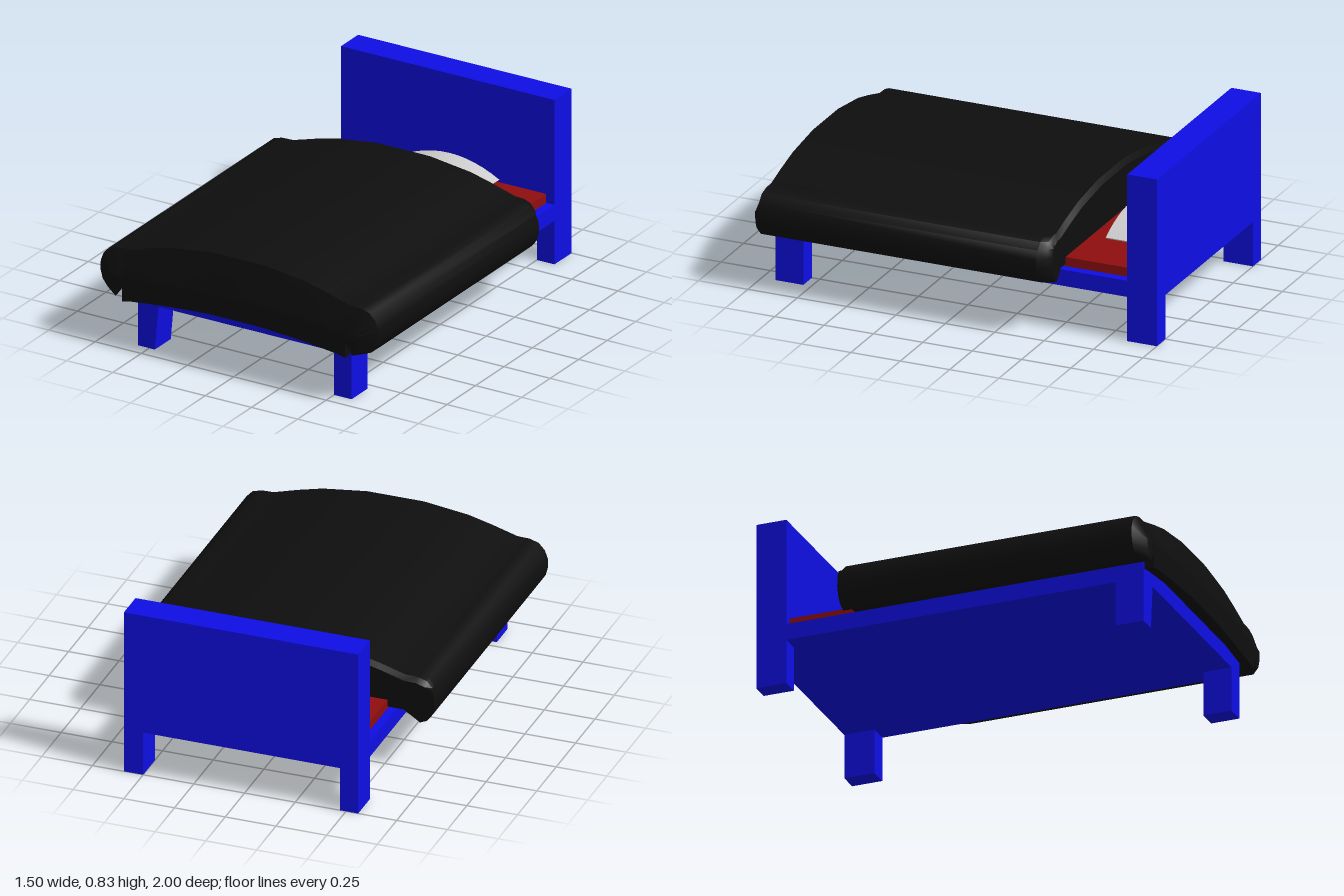
import * as THREE from 'three';
import { toCreasedNormals } from 'three/addons/utils/BufferGeometryUtils.js';

const paint = (color) => new THREE.MeshStandardMaterial({ color });

export function createModel() {
  const bed = new THREE.Group();
  bed.name = 'bed';
  const blue = paint(0x0e0ee4), red = paint(0x8e0e0e), black = paint(0x0e0e0e), grey = paint(0xcccccc);

  const add = (name, geometry, material) => {
    const mesh = new THREE.Mesh(geometry, material);
    mesh.name = name;
    bed.add(mesh);
    return mesh;
  };
  // Box given by its limits on each axis
  const box = (name, [x0, x1], [y0, y1], [z0, z1], material) => {
    const g = new THREE.BoxGeometry(x1 - x0, y1 - y0, z1 - z0);
    g.translate((x0 + x1) / 2, (y0 + y1) / 2, (z0 + z1) / 2);
    return add(name, g, material);
  };
  // Outline in x and y, extruded between two z positions
  const slab = (name, points, z0, z1, material) => {
    const shape = new THREE.Shape(points.map(([x, y]) => new THREE.Vector2(x, y)));
    const g = new THREE.ExtrudeGeometry(shape, { depth: z1 - z0, bevelEnabled: false });
    g.translate(0, 0, z0);
    return add(name, toCreasedNormals(g, 0.6), material);
  };

  // Frame: base, headboard and four legs, one of them tapered
  box('base', [-0.56, 0.595], [0.22, 0.3], [-0.86, 0.93], blue);
  box('headboard', [-0.56, 0.595], [0.22, 0.83], [-1, -0.85], blue);
  box('backLeftLeg', [0.5, 0.595], [0, 0.22], [-1, -0.85], blue);
  box('backRightLeg', [-0.56, -0.47], [0, 0.22], [-1, -0.85], blue);
  box('frontLeftLeg', [0.5, 0.595], [0, 0.22], [0.79, 0.93], blue);
  slab('frontRightLeg', [[-0.56, 0], [-0.47, 0], [-0.45, 0.22], [-0.56, 0.22]], 0.79, 0.93, blue);

  box('mattress', [-0.52, 0.55], [0.3, 0.345], [-0.85, 0.9], red);

  // Pillow: domed outline with blunt rounded ends
  const dome = [];
  for (let i = 0; i <= 12; i++) {
    const t = 1 - i / 6;
    dome.push([0.042 + 0.267 * t, 0.368 + 0.072 * (1 - t * t)]);
  }
  slab('pillow', [[-0.21, 0.357], [-0.1, 0.352], [0.18, 0.352], [0.295, 0.357], ...dome], -0.83, -0.61, grey);

  // Blanket: arched cross-section with rolled sides, lofted along z
  const half = [[0.6, 0.31], [0.68, 0.257], [0.715, 0.272], [0.74, 0.305], [0.752, 0.35], [0.75, 0.395],
    [0.735, 0.435], [0.705, 0.467], [0.66, 0.48], [0.6, 0.482], [0.48, 0.517], [0.36, 0.547], [0.14, 0.575]];
  const ring = [...half, ...half.map(([x, y]) => [-x, y]).reverse()].map(([x, y]) => new THREE.Vector2(x, y));
  // Narrow the part of a roll that lies outside the bed
  const tuck = (x, k) => Math.abs(x) > 0.6 ? Math.sign(x) * (0.6 + (Math.abs(x) - 0.6) * k) : x;
  const sections = [
    [-0.517, (x, y) => [x > 0 ? tuck(x, 0.6) : x, y > 0.45 ? y - 0.022 : y]],
    [-0.495, (x, y) => [x > 0 ? tuck(x, 0.8) : x, y]],
    [-0.46, (x, y) => [x, y]],
    [0.95, (x, y) => [x, y]],
    [0.998, (x, y) => [tuck(x, 0.5), y > 0.36 ? 0.36 + Math.max(y - 0.48, 0) * 0.47 + (y - 0.36) * 0.02 : y]],
  ];
  const positions = [], index = [], n = ring.length;
  sections.forEach(([z, move], s) => {
    ring.forEach((p, i) => {
      positions.push(...move(p.x, p.y), z);
      if (s === 0) return;
      const j = (i + 1) % n, a = (s - 1) * n + i, b = (s - 1) * n + j, c = s * n + j, d = s * n + i;
      index.push(a, b, c, a, c, d);
    });
  });
  const last = (sections.length - 1) * n;
  for (const [a, b, c] of THREE.ShapeUtils.triangulateShape(ring, [])) {
    index.push(a, c, b, last + a, last + b, last + c);
  }
  const cover = new THREE.BufferGeometry();
  cover.setAttribute('position', new THREE.Float32BufferAttribute(positions, 3));
  cover.setIndex(index);
  add('blanket', toCreasedNormals(cover, 0.7), black);

  // Flap of the blanket hanging over the foot of the bed
  slab('blanketFlap', [[-0.605, 0.238], [-0.56, 0.248], [-0.36, 0.27], [-0.14, 0.285], [0.14, 0.285], [0.36, 0.27],
    [0.56, 0.248], [0.602, 0.238], [0.602, 0.36], [0.36, 0.38], [0.14, 0.395], [-0.14, 0.395], [-0.36, 0.38],
    [-0.605, 0.36]], 0.955, 1, black);

  return bed;
}
